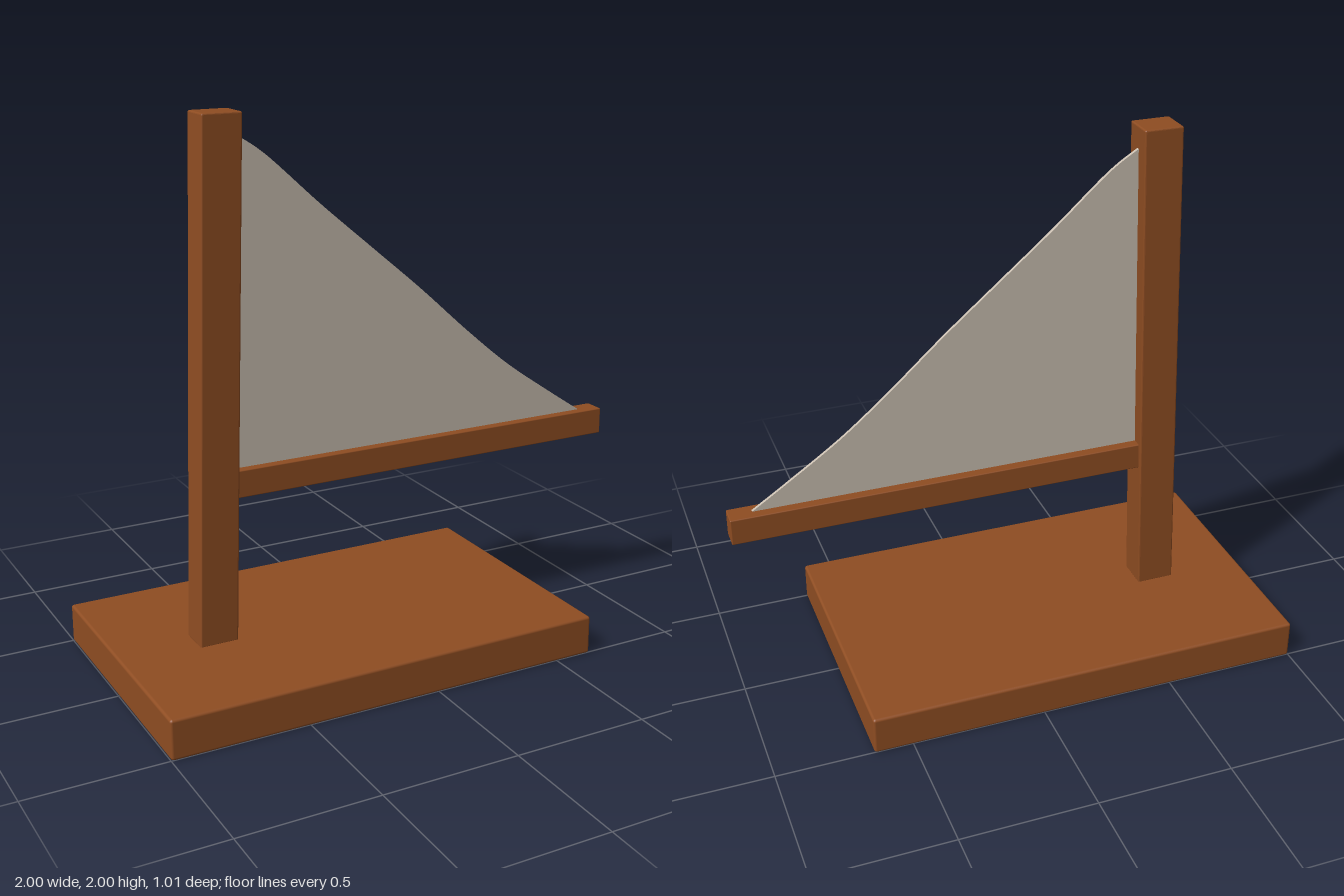
import * as THREE from 'three';
import { RoundedBoxGeometry } from 'three/addons/geometries/RoundedBoxGeometry.js';

const wood = new THREE.MeshStandardMaterial({ color: 0x8f4d22 });
wood.name = 'brown wood';
const cloth = new THREE.MeshStandardMaterial({ color: 0xc9beb0 });
cloth.name = 'pale canvas';

// Softly rounded wooden beam spanning two opposite corners
function beam(name, min, max, radius) {
  const size = max.map((v, i) => v - min[i]);
  const geometry = new RoundedBoxGeometry(...size, 2, radius);
  geometry.translate(...min.map((v, i) => (v + max[i]) / 2));
  const mesh = new THREE.Mesh(geometry, wood);
  mesh.name = name;
  return mesh;
}

export function createModel() {
  const model = new THREE.Group();
  model.name = 'sailboat';

  // Flat hull board
  model.add(beam('hull', [-1, 0, -0.505], [0.643, 0.145, 0.505], 0.01));

  // Square mast, leaning towards the sail
  const mast = beam('mast', [-0.713, 0.14, -0.057], [-0.569, 2, 0.064], 0.006);
  const position = mast.geometry.attributes.position;
  for (let i = 0; i < position.count; i++) {
    const t = (position.getY(i) - 0.14) / 1.86;
    position.setX(i, position.getX(i) + 0.063 * t);
  }
  mast.geometry.computeVertexNormals();
  model.add(mast);

  // Boom carrying the foot of the sail
  model.add(beam('boom', [-0.58, 0.665, -0.04], [1, 0.765, 0.04], 0.004));

  // Thin sail with a gently curved trailing edge
  const outline = new THREE.Shape();
  outline.moveTo(-0.56, 0.755);
  outline.lineTo(0.93, 0.755);
  outline.splineThru([
    [0.78, 0.855], [0.58, 0.995], [0.4, 1.145], [0.2, 1.325],
    [0, 1.495], [-0.2, 1.665], [-0.4, 1.845], [-0.51, 1.92],
  ].map(([x, y]) => new THREE.Vector2(x, y)));
  outline.closePath();
  const sailGeometry = new THREE.ExtrudeGeometry(outline, {
    depth: 0.012, bevelEnabled: false, curveSegments: 24,
  });
  sailGeometry.translate(0, 0, -0.004);
  const sail = new THREE.Mesh(sailGeometry, cloth);
  sail.name = 'sail';
  model.add(sail);

  return model;
}
